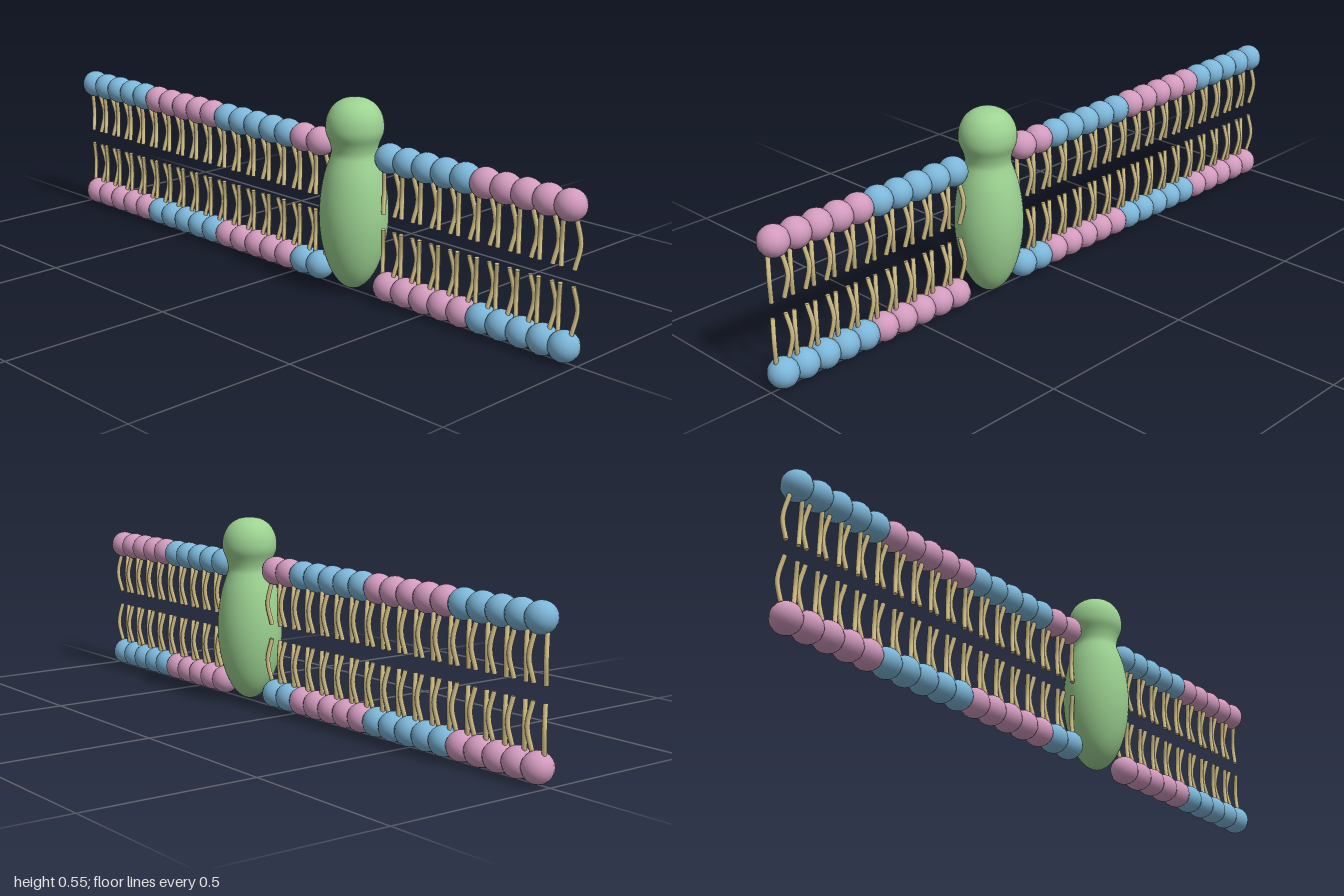
import * as THREE from 'three';
import { mergeGeometries } from 'three/addons/utils/BufferGeometryUtils.js';

function material(name, color) {
  const m = new THREE.MeshStandardMaterial({ color });
  m.name = name;
  return m;
}

const HEAD_RADIUS = 0.042;
const TAIL_RADIUS = 0.0065;
const MID_Y = 0.2255; // plane between the two layers

// Bowed tail of an upper lipid, relative to its head centre, with closed ends
function tailGeometry(side) {
  const curve = new THREE.CatmullRomCurve3([
    new THREE.Vector3(side * 0.02, -0.034, 0),
    new THREE.Vector3(side * 0.028, -0.098, -0.01),
    new THREE.Vector3(side * 0.02, -0.161, 0),
  ]);
  const parts = [new THREE.TubeGeometry(curve, 8, TAIL_RADIUS, 8)];
  for (const [t, sign] of [[0, -1], [1, 1]]) {
    const cap = new THREE.CircleGeometry(TAIL_RADIUS, 8);
    const outward = curve.getTangent(t).multiplyScalar(sign);
    cap.applyQuaternion(new THREE.Quaternion().setFromUnitVectors(new THREE.Vector3(0, 0, 1), outward));
    const p = curve.getPoint(t);
    cap.translate(p.x, p.y, p.z);
    parts.push(cap);
  }
  return mergeGeometries(parts);
}

export function createModel() {
  const model = new THREE.Group();
  model.name = 'membrane';
  const blue = material('blue', 0x7db7da);
  const pink = material('pink', 0xd39bbf);
  const tan = material('tan', 0xd8c48a);
  const green = material('green', 0x9dd392);
  tan.side = THREE.DoubleSide;

  const headGeo = new THREE.SphereGeometry(HEAD_RADIUS, 16, 12);
  const tailGeo = mergeGeometries([tailGeometry(-1), tailGeometry(1)]);
  // Mirror the tails for the lower layer, turning the faces back outward
  const lowerTailGeo = tailGeo.clone().scale(1, -1, 1);
  const index = lowerTailGeo.index;
  for (let i = 0; i < index.count; i += 3) {
    const a = index.getX(i);
    index.setX(i, index.getX(i + 2));
    index.setX(i + 2, a);
  }
  lowerTailGeo.computeVertexNormals();

  // Two facing rows of lipids in alternating runs of five, with a gap for the protein
  const count = 30;
  const step = (2 - 2 * HEAD_RADIUS) / (count - 1);
  for (const layer of [1, -1]) {
    const row = new THREE.Group();
    row.name = layer > 0 ? 'upperLayer' : 'lowerLayer';
    for (let i = 0; i < count; i++) {
      if (i >= 17 && i <= 19) continue;
      const evenRun = Math.floor(i / 5) % 2 === 0;
      const lipid = new THREE.Group();
      lipid.name = 'lipid';
      const head = new THREE.Mesh(headGeo, evenRun === (layer > 0) ? blue : pink);
      head.name = 'lipidHead';
      const tails = new THREE.Mesh(layer > 0 ? tailGeo : lowerTailGeo, tan);
      tails.name = 'lipidTails';
      lipid.add(head, tails);
      lipid.position.set(-1 + HEAD_RADIUS + i * step, MID_Y + layer * 0.1825, 0);
      row.add(lipid);
    }
    model.add(row);
  }

  // Protein: tapered body, narrow neck and round top
  const profile = new THREE.SplineCurve([
    [0, 0.007], [0.022, 0.014], [0.045, 0.034], [0.067, 0.07], [0.084, 0.12],
    [0.094, 0.175], [0.097, 0.23], [0.093, 0.285], [0.083, 0.34], [0.07, 0.38],
    [0.064, 0.403], [0.069, 0.43], [0.079, 0.455], [0.081, 0.478], [0.076, 0.505],
    [0.06, 0.532], [0.033, 0.55], [0, 0.555],
  ].map(([r, y]) => new THREE.Vector2(r, y)));
  const points = profile.getPoints(51);
  points.forEach((p) => { p.x = Math.max(0, p.x); });
  const protein = new THREE.Mesh(new THREE.LatheGeometry(points, 40), green);
  protein.name = 'protein';
  protein.position.x = -1 + HEAD_RADIUS + 18 * step;
  model.add(protein);

  return model;
}
